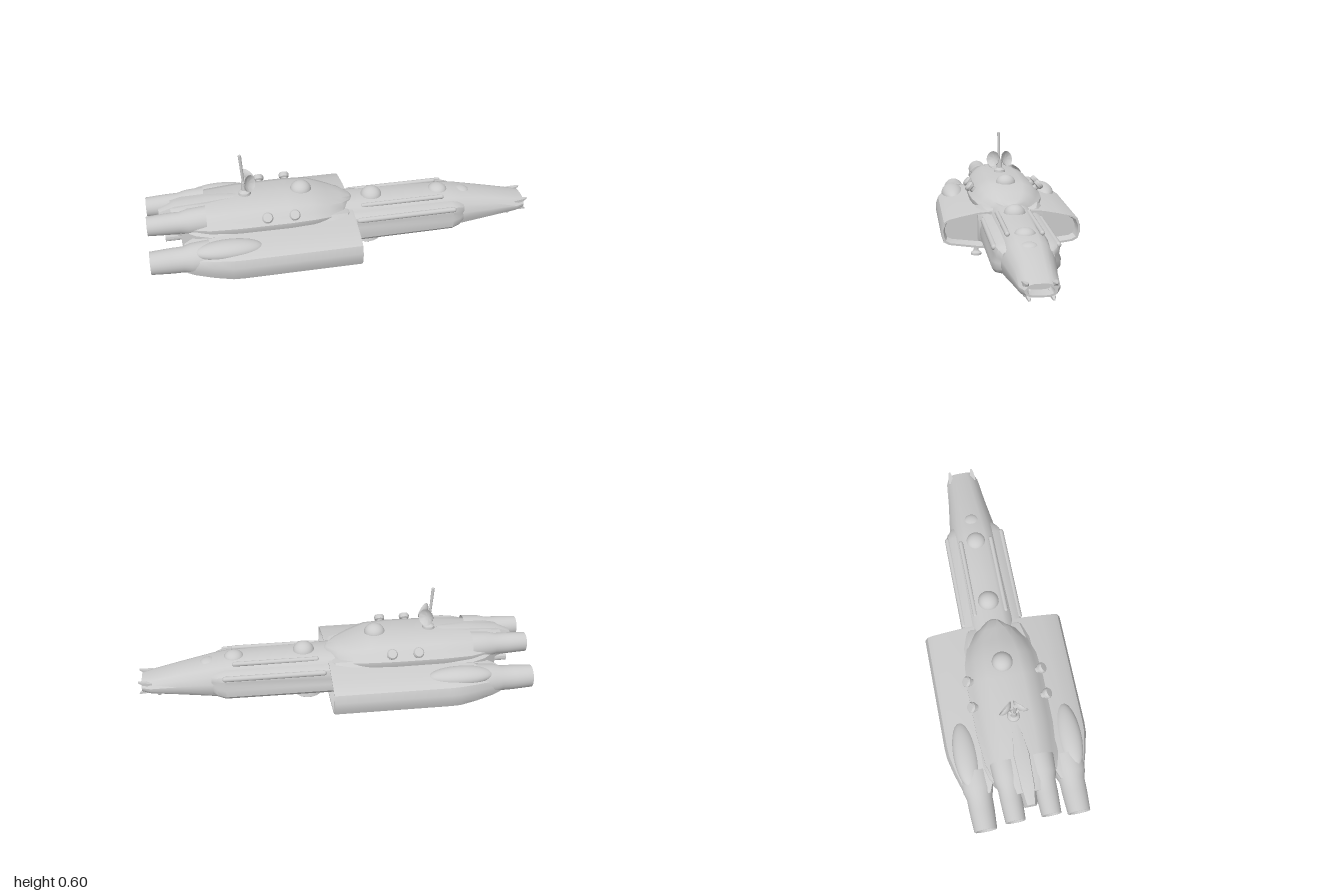
import * as THREE from 'three';
import { toCreasedNormals } from 'three/addons/utils/BufferGeometryUtils.js';

const grey = new THREE.MeshStandardMaterial({ color: 0xcccccc });
const greyOpen = new THREE.MeshStandardMaterial({ color: 0xcccccc, side: THREE.DoubleSide });

// Skin a list of rings ([x, y, z] corners, counter-clockwise seen from +x), ordered along x
function loft(rings, crease = 0.6) {
  const n = rings[0].length, pos = rings.flat(2), idx = [];
  for (let j = 0; j < rings.length - 1; j++)
    for (let i = 0; i < n; i++) {
      const k = (i + 1) % n, a = j * n + i, b = j * n + k;
      idx.push(a, b, b + n, a, b + n, a + n);
    }
  [0, rings.length - 1].forEach((j, end) => {
    const c = pos.length / 3;
    for (let q = 0; q < 3; q++) pos.push(rings[j].reduce((s, p) => s + p[q], 0) / n);
    for (let i = 0; i < n; i++) {
      const a = j * n + i, b = j * n + (i + 1) % n;
      idx.push(c, end ? a : b, end ? b : a);
    }
  });
  const g = new THREE.BufferGeometry();
  g.setAttribute('position', new THREE.Float32BufferAttribute(pos, 3));
  g.setIndex(idx);
  return toCreasedNormals(g, crease);
}

// Symmetric hull: half profile [width, height] in 0..1, sections [x, halfWidth, yLow, yHigh]
function hull(half, sections) {
  const full = [...half, ...half.slice(1, -1).reverse().map(([w, h]) => [-w, h])];
  return loft(sections.map(([x, w, y0, y1]) => full.map(([u, v]) => [x, y0 + v * (y1 - y0), u * w])));
}

// One-sided body: ring [z, y] scaled about a centre, sections [x, scaleZ, scaleY]
function sideBody(ring, [cz, cy], sections, s) {
  return loft(sections.map(([x, a, b]) => {
    const r = ring.map(([z, y]) => [x, cy + (y - cy) * b, s * (cz + (z - cz) * a)]);
    return s > 0 ? r : r.reverse();
  }));
}

const lathe = (pts, seg = 24) =>
  toCreasedNormals(new THREE.LatheGeometry(pts.map(p => new THREE.Vector2(...p)), seg), 0.6);

export function createModel() {
  const ship = new THREE.Group();
  ship.name = 'spaceship';
  const add = (name, geo, x = 0, y = 0, z = 0, mat = grey) => {
    const m = new THREE.Mesh(geo, mat);
    m.name = name;
    m.position.set(x, y, z);
    ship.add(m);
    return m;
  };
  const both = fn => [1, -1].forEach(fn);

  // Forward hull, tapering to a hollow nose
  add('forwardHull', hull(
    [[0, 1], [0.42, 0.99], [0.66, 0.92], [0.85, 0.75], [1, 0.55], [1, 0.38], [0.9, 0.18], [0.6, 0.03], [0, 0]],
    [[-0.1, 0.14, 0.075, 0.3], [0.3, 0.135, 0.075, 0.292], [0.55, 0.13, 0.082, 0.283], [0.62, 0.126, 0.085, 0.272],
      [0.8, 0.102, 0.103, 0.235], [0.94, 0.088, 0.122, 0.202], [0.985, 0.07, 0.132, 0.192],
      [0.985, 0.058, 0.14, 0.184], [0.92, 0.05, 0.145, 0.178]]));

  // Central hull and belly
  add('centralHull', hull(
    [[0, 1], [0.8, 1], [1, 0.85], [1, 0.25], [0.75, 0.12], [0.58, 0], [0, 0]],
    [[-0.84, 0.12, 0.15, 0.3], [-0.77, 0.17, 0.1, 0.3], [-0.7, 0.19, 0.055, 0.3], [-0.6, 0.19, 0.045, 0.3],
      [-0.08, 0.19, 0.045, 0.29], [0.0, 0.17, 0.06, 0.28], [0.02, 0.14, 0.08, 0.27]]));

  // Upper deck with rounded plan
  add('upperDeck', hull(
    [[0, 1], [0.46, 0.98], [0.72, 0.84], [0.87, 0.6], [1, 0.42], [1, 0.3], [0.92, 0], [0, 0]],
    [[-0.88, 0.11, 0.25, 0.355], [-0.8, 0.145, 0.24, 0.365], [-0.7, 0.178, 0.24, 0.37], [-0.55, 0.193, 0.24, 0.378],
      [-0.3, 0.195, 0.24, 0.38], [-0.18, 0.187, 0.24, 0.375], [-0.09, 0.16, 0.24, 0.345], [-0.02, 0.115, 0.24, 0.325],
      [0.03, 0.05, 0.24, 0.31], [0.045, 0.02, 0.26, 0.295]]));
  add('rearSpine', hull([[0, 1], [0.6, 0.95], [1, 0.5], [1, 0], [0, 0]],
    [[-0.94, 0.03, 0.27, 0.335], [-0.86, 0.05, 0.26, 0.37], [-0.7, 0.06, 0.26, 0.382], [-0.55, 0.03, 0.3, 0.38]]));

  const wingRing = [[0.1, 0.275], [0.17, 0.27], [0.26, 0.252], [0.325, 0.237], [0.35, 0.222], [0.364, 0.185],
    [0.364, 0.15], [0.352, 0.115], [0.325, 0.1], [0.22, 0.085], [0.17, 0.078], [0.1, 0.078]];
  const podRing = [[0.1, 0.26], [0.125, 0.257], [0.148, 0.245], [0.158, 0.22], [0.154, 0.195], [0.163, 0.17],
    [0.16, 0.13], [0.145, 0.112], [0.1, 0.1]];
  const engine = [[0.083, -0.06], [0.076, 0.03], [0.064, 0.07], [0.063, 0.13], [0.057, 0.23], [0.049, 0.23],
    [0.047, 0.12], [0, 0.12]];
  both(s => {
    // Side nacelle with a recessed front face and engine behind
    add('sideNacelle', sideBody(wingRing, [0.24, 0.185],
      [[-0.83, 0.44, 0.6], [-0.79, 0.56, 0.74], [-0.7, 0.79, 0.9], [-0.61, 0.97, 1], [-0.56, 1, 1], [0.022, 1, 1],
        [0.032, 0.985, 0.98], [0.032, 0.9, 0.87], [-0.015, 0.82, 0.74]], s));
    const bulge = add('nacelleBulge', new THREE.SphereGeometry(1, 28, 16), -0.62, 0.235, 0.265 * s);
    bulge.scale.set(0.17, 0.047, 0.062);
    add('sideEngine', lathe(engine), -0.77, 0.187, 0.235 * s, greyOpen).rotation.z = Math.PI / 2;
    const upper = add('upperEngine', lathe(engine), -0.77, 0.305, 0.088 * s, greyOpen);
    upper.rotation.z = Math.PI / 2;
    upper.scale.set(0.86, 1, 0.86);

    // Side pod of the forward hull, with a raised strip
    add('forwardPod', sideBody(podRing, [0.1, 0.18],
      [[-0.02, 1, 1], [0.56, 0.98, 0.96], [0.6, 0.75, 0.82], [0.63, 0.35, 0.6]], s));
    const strip = add('podStrip', new THREE.CapsuleGeometry(0.014, 0.5, 6, 12), 0.31, 0.234, 0.149 * s);
    strip.rotation.z = Math.PI / 2;
    const ridge = add('topRidge', new THREE.CapsuleGeometry(0.012, 0.42, 6, 12), 0.3, 0.279, 0.082 * s);
    ridge.rotation.z = Math.PI / 2;

    // Angled turrets on the deck edge
    for (const x of [-0.415, -0.28]) {
      const t = add('sideTurret', lathe([[0.016, -0.03], [0.017, 0.022], [0.026, 0.028], [0.028, 0.042],
        [0.022, 0.052], [0, 0.053]], 16), x, 0.318, 0.163 * s, greyOpen);
      t.rotation.x = s * 0.85;
    }

    // Landing rail and small feet
    add('landingRail', new THREE.BoxGeometry(0.54, 0.016, 0.028), -0.31, 0.078, 0.172 * s);
    for (const x of [-0.535, -0.345, -0.085])
      add('smallFoot', lathe([[0, 0.014], [0.028, 0.014], [0.028, 0.024], [0.014, 0.036], [0.011, 0.055],
        [0.022, 0.085]], 16), x, 0, 0.175 * s, greyOpen);

    // Prongs and lamps at the nose
    for (const [y, tipY, z] of [[0.18, 0.195, 0.062], [0.142, 0.124, 0.052]]) {
      const prong = [[-1, 1], [1, 1], [1, -1], [-1, -1]].reverse();
      add('noseProng', loft([[0.93, y, z, 0.014], [0.98, (y + tipY) / 2, z, 0.01], [1, tipY, z, 0.004]]
        .map(([x, cy, cz, r]) => prong.map(([a, b]) => [x, cy + b * r * 0.7, s * cz + a * r]).reverse())
        .map(r => [...r].reverse()).map(r => r.reverse())), 0, 0, 0, greyOpen);
    }
    add('noseLamp', new THREE.SphereGeometry(0.012, 12, 8), 0.9, 0.12, 0.054 * s);

    // Dish antenna
    const dish = add('dish', lathe([[0.006, -0.022], [0.008, -0.004], [0.026, 0.002], [0.04, 0.014], [0.043, 0.022],
      [0.037, 0.017], [0.022, 0.007], [0, 0.004]], 20), -0.495, 0.452, 0.026 * s, greyOpen);
    dish.quaternion.setFromUnitVectors(new THREE.Vector3(0, 1, 0), new THREE.Vector3(0.72, 0.25, 0.65 * s).normalize());

    // Tail pipes between the engines
    add('tailPipe', lathe([[0.02, 0], [0.02, 0.1], [0.015, 0.1], [0.015, 0.04], [0, 0.04]], 12),
      -0.82, 0.2, 0.05 * s, greyOpen).rotation.z = Math.PI / 2;
  });

  // Domes along the top
  for (const [x, y, r, h] of [[-0.22, 0.37, 0.054, 0.045], [0.15, 0.285, 0.056, 0.05], [0.51, 0.272, 0.052, 0.036],
    [0.64, 0.252, 0.045, 0.022], [-0.7, 0.365, 0.035, 0.015]]) {
    const d = add('dome', new THREE.SphereGeometry(1, 24, 12), x, y, 0);
    d.scale.set(r, h, r);
  }

  // Antenna mast and its base
  add('mastBase', lathe([[0.035, 0.36], [0.03, 0.39], [0.016, 0.402], [0.013, 0.45], [0, 0.455]], 16), -0.505, 0, 0, greyOpen);
  const mast = add('mast', new THREE.CylinderGeometry(0.0085, 0.006, 0.17, 12), -0.513, 0.517, 0.002);
  mast.rotation.z = 0.06;

  // Large round pads under the belly
  for (const [x, low, r] of [[-0.5, 0, 0.064], [-0.11, 0, 0.06], [0.13, 0.035, 0.074]])
    add('bellyPad', lathe([[0, low], [r * 0.9, low], [r, low + 0.006], [r * 0.94, low + 0.026], [r * 0.72, low + 0.034],
      [r * 0.72, 0.09]], 28), x, 0, 0, greyOpen);

  return ship;
}
